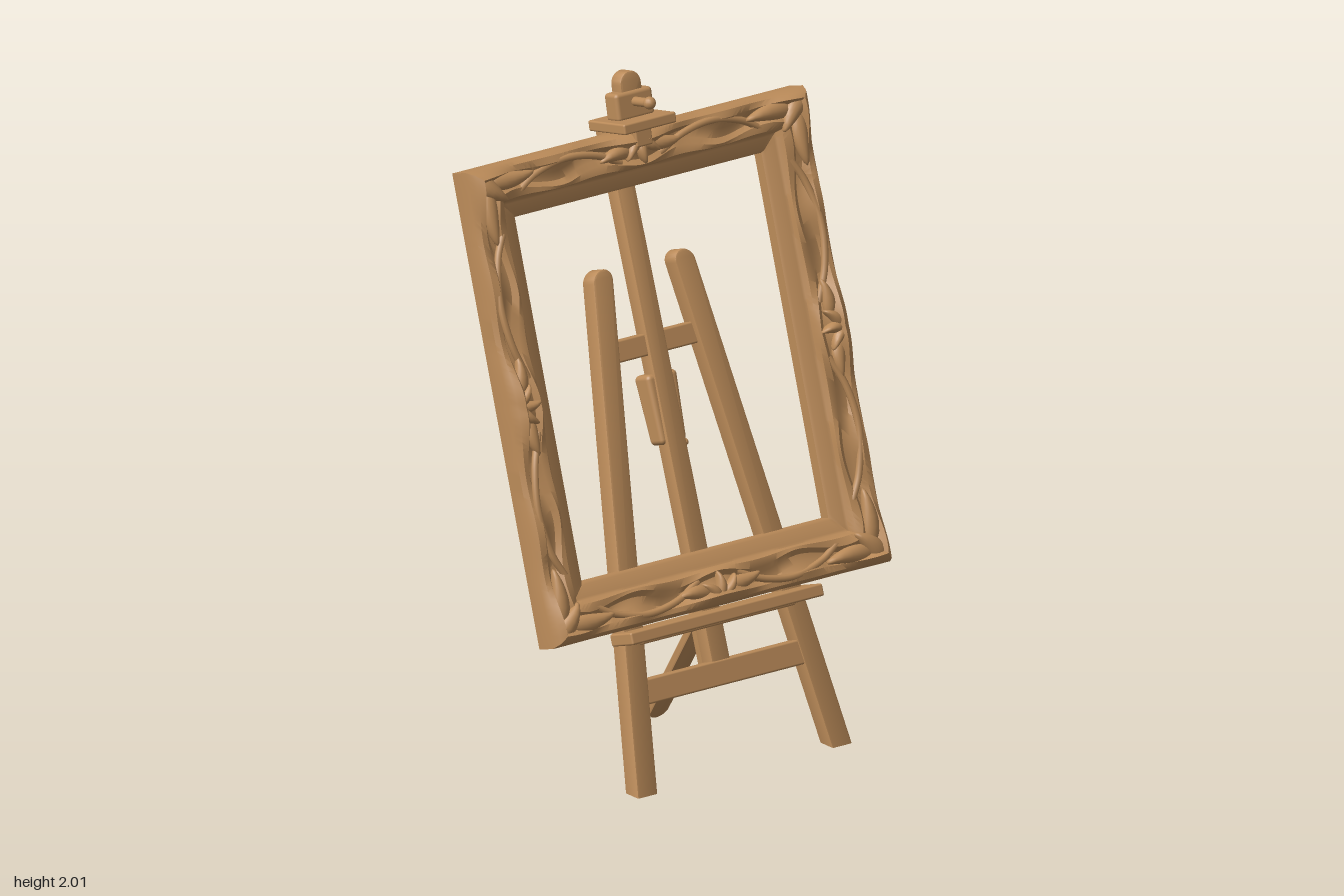
import * as THREE from 'three';
import { toCreasedNormals } from 'three/addons/utils/BufferGeometryUtils.js';
import { RoundedBoxGeometry } from 'three/addons/geometries/RoundedBoxGeometry.js';

const wood = new THREE.MeshStandardMaterial({ color: 0xbb8b59 });
wood.name = 'wood';

function add(parent, name, geo, x = 0, y = 0, z = 0) {
  const mesh = new THREE.Mesh(geo, wood);
  mesh.name = name;
  mesh.position.set(x, y, z);
  parent.add(mesh);
  return mesh;
}

// Box given by its extents, with softly rounded edges
function bar(parent, name, x0, x1, y0, y1, z0, z1, r = 0.006) {
  const geo = new RoundedBoxGeometry(x1 - x0, y1 - y0, z1 - z0, 2, r);
  return add(parent, name, geo, (x0 + x1) / 2, (y0 + y1) / 2, (z0 + z1) / 2);
}

// Slat standing on y = 0 with a half-round top, leaning sideways by dx
function slat(width, height, depth, dx = 0, roundFoot = false) {
  const r = width / 2, s = new THREE.Shape();
  s.moveTo(-r, roundFoot ? r : 0);
  if (roundFoot) s.absarc(0, r, r, Math.PI, Math.PI * 2, false);
  else s.lineTo(r, 0);
  s.lineTo(r, height - r);
  s.absarc(0, height - r, r, 0, Math.PI, false);
  const b = 0.006;
  const geo = new THREE.ExtrudeGeometry(s, {
    depth: depth - 2 * b, curveSegments: 8, bevelSize: b, bevelOffset: -b, bevelThickness: b, bevelSegments: 2,
  });
  geo.translate(0, 0, b - depth / 2);
  const p = geo.attributes.position;
  for (let i = 0; i < p.count; i++) p.setX(i, p.getX(i) + dx * p.getY(i) / height);
  return toCreasedNormals(geo, 0.6);
}

// Carved relief height along a rail, t from -1 to 1
const relief = (t) => {
  const a = Math.abs(t);
  return 0.03 * Math.exp(-((t / 0.14) ** 2)) + 0.028 * Math.exp(-(((1 - a) / 0.2) ** 2)) + 0.008 * Math.sin(a * 15);
};

// Moulding profile: distance in from the outer edge, height, relief share, waviness
const PROFILE = [
  [0, 0, 0, 0], [0, 0.062, 0.2, 0], [0.012, 0.078, 0.6, 0], [0.03, 0.08, 1, 0.3], [0.05, 0.062, 0.7, 1],
  [0.075, 0.06, 0.5, 1], [0.092, 0.072, 0.5, 1], [0.108, 0.07, 0.2, 0.3], [0.115, 0.054, 0, 0],
  [0.122, 0.05, 0, 0], [0.158, 0.044, 0, 0], [0.165, 0.036, 0, 0], [0.165, 0, 0, 0],
];

// One mitred rail; half is half its length, out the distance from the centre
function railGeometry(half, out) {
  const n = 72, m = PROFILE.length, pos = [], idx = [];
  for (let i = 0; i <= n; i++) {
    const t = (i / n) * 2 - 1;
    for (const [s0, w, k, wave] of PROFILE) {
      const s = s0 + wave * 0.012 * Math.cos(t * 11);
      pos.push(t * (half - s), s - out, w + k * relief(t));
    }
  }
  for (let i = 0; i < n; i++) {
    for (let k = 0; k < m; k++) {
      const k2 = (k + 1) % m, a = i * m + k, b = a + m, c = (i + 1) * m + k2, d = i * m + k2;
      idx.push(a, b, c, a, c, d);
    }
  }
  const geo = new THREE.BufferGeometry();
  geo.setAttribute('position', new THREE.Float32BufferAttribute(pos, 3));
  geo.setIndex(idx);
  return toCreasedNormals(geo, 0.7);
}

// Carved leaf: a flattened, tapering, slightly curled lobe growing along +x
function leafGeometry(len, wid, high) {
  const geo = new THREE.SphereGeometry(1, 16, 10);
  const p = geo.attributes.position;
  for (let i = 0; i < p.count; i++) {
    const x = p.getX(i), taper = 1 - 0.45 * x;
    p.setXYZ(i, (x + 1) * len / 2, p.getY(i) * wid * taper + 0.008 * x * x, p.getZ(i) * high);
  }
  geo.computeVertexNormals();
  return geo;
}

function pictureFrame() {
  const frame = new THREE.Group(), hx = 0.615, hy = 0.7085;
  frame.name = 'pictureFrame';
  const leaf = (parent, x, y, angle, len, wid, high, z = 0.078) => {
    add(parent, 'carvedLeaf', leafGeometry(len, wid, high), x, y, z).rotation.z = angle;
  };
  ['bottomRail', 'rightHandRail', 'topRail', 'leftHandRail'].forEach((name, q) => {
    const side = new THREE.Group();
    side.name = name;
    side.rotation.z = q * Math.PI / 2;
    const half = q % 2 ? hy : hx, out = q % 2 ? hx : hy;
    add(side, 'moulding', railGeometry(half, out));
    // Middle shell with a pair of long side scrolls
    for (const a of [0.25, 0.5, 0.75]) leaf(side, 0, 0.02 - out, a * Math.PI, 0.085, 0.016, 0.022, 0.085);
    for (const m of [-1, 1]) {
      const pts = [[0.07, 0.085, 0.07], [0.16, 0.045, 0.078], [0.27, 0.03, 0.078], [0.38, 0.055, 0.07], [0.44, 0.09, 0.066]]
        .map(([x, y, z]) => new THREE.Vector3(m * x * half / 0.615, y - out, z));
      add(side, 'scroll', new THREE.TubeGeometry(new THREE.CatmullRomCurve3(pts), 24, 0.011, 8));
      leaf(side, m * 0.03, 0.05 - out, m > 0 ? 0.1 : Math.PI - 0.1, 0.12, 0.02, 0.02);
      // Leaves running away from the corner
      leaf(side, m * (half - 0.06), 0.05 - out, m > 0 ? Math.PI : 0, 0.17, 0.024, 0.022, 0.08);
    }
    // Corner leaf pointing to the opening
    leaf(side, half - 0.02, 0.02 - out, Math.PI * 0.75, 0.13, 0.026, 0.024, 0.084);
    frame.add(side);
  });
  return frame;
}

export function createModel() {
  const model = new THREE.Group();
  model.name = 'easelWithFrame';

  // Easel body, leaning back
  const lean = THREE.MathUtils.degToRad(19);
  const easel = new THREE.Group();
  easel.name = 'easel';
  easel.position.z = 0.302;
  easel.rotation.x = -lean;
  model.add(easel);

  // Front legs, feet cut level with the floor
  for (const m of [-1, 1]) {
    const geo = slat(0.072, 1.515, 0.06, -m * 0.21);
    const p = geo.attributes.position;
    for (let i = 0; i < p.count; i++) if (p.getY(i) < 0.02) p.setY(i, -p.getZ(i) * Math.tan(lean));
    add(easel, m > 0 ? 'leftLeg' : 'rightLeg', geo, m * 0.355, 0, 0);
  }

  // Cross bars, shelf and centre post
  bar(easel, 'lowerCrossbar', -0.3, 0.3, 0.248, 0.322, -0.025, 0.025);
  bar(easel, 'upperCrossbar', -0.16, 0.16, 1.235, 1.3, -0.03, 0.01);
  bar(easel, 'shelf', -0.35, 0.35, 0.435, 0.472, -0.01, 0.1);
  bar(easel, 'shelfSupport', -0.28, 0.28, 0.425, 0.45, 0.01, 0.05);
  add(easel, 'centrePost', slat(0.066, 1.685, 0.055), 0, 0.25, -0.006);
  bar(easel, 'strutHinge', -0.03, 0.03, 0.26, 0.47, -0.06, -0.02);

  // Height slider with a tapered lower end and a small catch
  const slider = new RoundedBoxGeometry(0.11, 0.21, 0.075, 3, 0.015);
  const sp = slider.attributes.position;
  for (let i = 0; i < sp.count; i++) {
    if (sp.getY(i) < -0.08) { sp.setX(i, sp.getX(i) * 0.85); sp.setZ(i, sp.getZ(i) * 0.85); }
  }
  add(easel, 'heightSlider', slider, 0, 1.075, -0.022);
  const catchPin = add(easel, 'sliderCatch', new THREE.CylinderGeometry(0.007, 0.007, 0.04, 10), 0.05, 0.965, -0.035);
  catchPin.rotation.z = Math.PI / 2.4;
  add(easel, 'sliderCatchKnob', new THREE.SphereGeometry(0.012, 12, 8), 0.063, 0.96, -0.035);

  // Rear strut
  const strut = add(model, 'rearStrut', slat(0.068, 0.45, 0.028, 0, true), 0, 0.045, -0.108);
  strut.rotation.x = Math.atan2(0.235, 0.37);

  // Carved frame resting on the shelf
  const holder = new THREE.Group();
  holder.name = 'frameHolder';
  holder.position.set(0, 0.46, 0.153);
  holder.rotation.x = -THREE.MathUtils.degToRad(17.3);
  const frame = pictureFrame();
  frame.position.y = 0.7085;
  holder.add(frame);
  model.add(holder);

  // Top clamp: plate, stepped block and screw
  const clamp = new THREE.Group();
  clamp.name = 'topClamp';
  clamp.position.set(0, 1.855, -0.212);
  clamp.rotation.x = -THREE.MathUtils.degToRad(-12);
  bar(clamp, 'clampPlate', -0.095, 0.095, -0.016, 0.016, -0.09, 0.09);
  clamp.rotation.x = -THREE.MathUtils.degToRad(12);
  bar(clamp, 'clampBlock', -0.067, 0.067, 0.01, 0.095, -0.035, 0.028, 0.012);
  add(clamp, 'clampTop', slat(0.076, 0.145, 0.05), 0, 0.007, -0.007);
  const screw = add(clamp, 'clampScrew', new THREE.CylinderGeometry(0.014, 0.014, 0.09, 14), 0, 0.062, 0.06);
  screw.rotation.x = Math.PI / 2;
  add(clamp, 'screwHead', new THREE.SphereGeometry(0.019, 14, 10), 0, 0.062, 0.098);
  bar(clamp, 'clampLip', -0.03, 0.03, -0.07, -0.01, 0.02, 0.05);
  model.add(clamp);

  return model;
}
